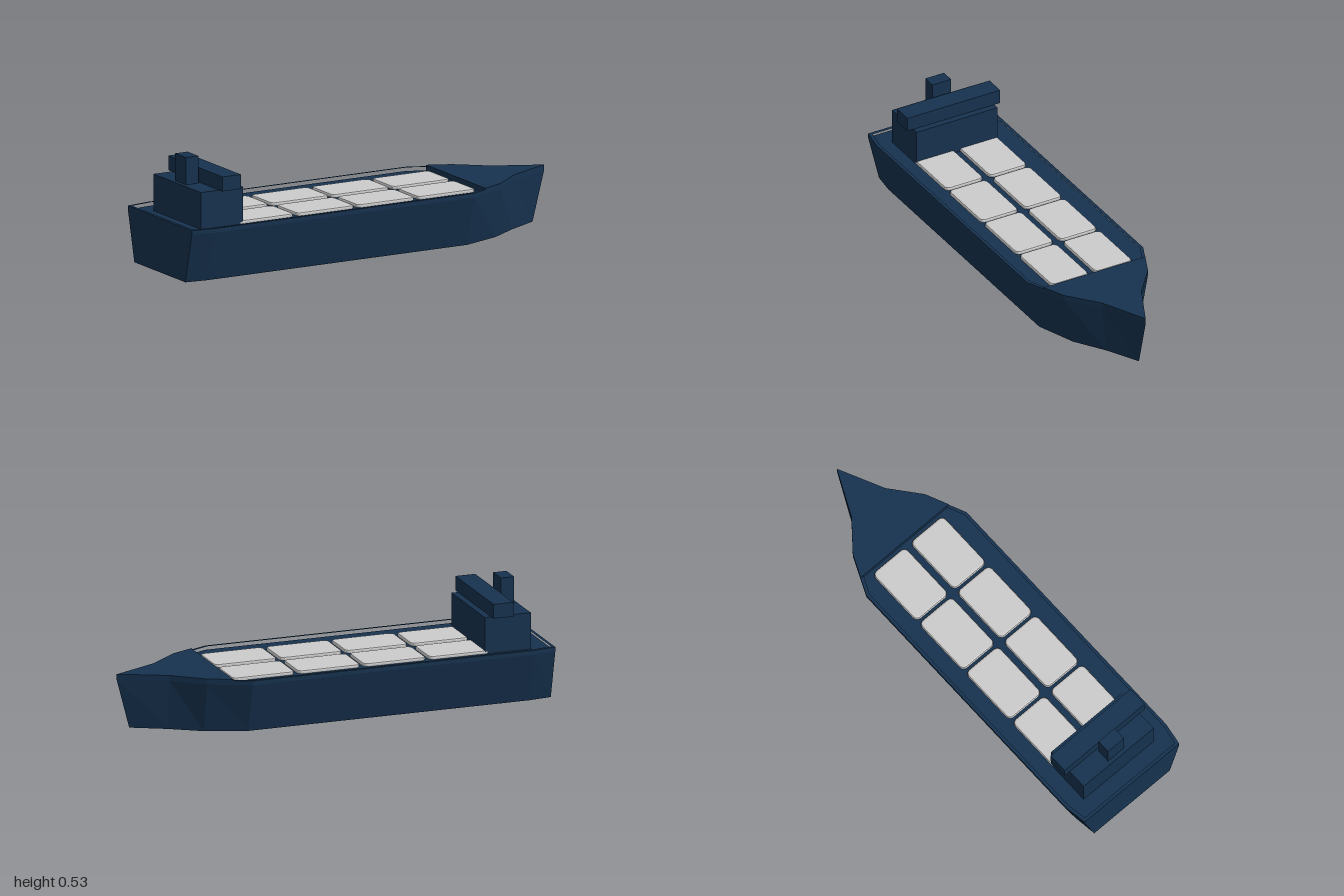
import * as THREE from 'three';

const navy = new THREE.MeshStandardMaterial({ color: 0x16324f, flatShading: true });
const grey = new THREE.MeshStandardMaterial({ color: 0xcccccc });

// Half outlines [x, half width], running from stern to bow
const sheer = [[-1, 0.283], [-0.893, 0.3], [0.46, 0.3], [0.647, 0.216], [0.786, 0.102], [1, 0]];
const well = [[-0.985, 0.268], [-0.89, 0.285], [0.455, 0.285], [0.54, 0.247]];
const bow = [[0.54, 0.264], ...sheer.slice(3)];

// Mirrors a half outline into a closed loop, without doubling a point on the centreline
function mirrored(half) {
  const other = half.filter(p => p[1] > 0).reverse().map(([x, z]) => [x, -z]);
  return [...half, ...other].map(([x, z]) => new THREE.Vector2(x, z));
}

// Upright prism from a half outline, between heights y0 and y1
function prism(half, y0, y1, hole) {
  const shape = new THREE.Shape(mirrored(half));
  if (hole) shape.holes.push(new THREE.Path(mirrored(hole)));
  const geo = new THREE.ExtrudeGeometry(shape, { depth: y1 - y0, bevelEnabled: false });
  return geo.rotateX(-Math.PI / 2).translate(0, y0, 0);
}

function roundedRect(w, h, r) {
  const s = new THREE.Shape();
  const x = w / 2 - r, y = h / 2 - r;
  s.absarc(x, y, r, 0, Math.PI / 2);
  s.absarc(-x, y, r, Math.PI / 2, Math.PI);
  s.absarc(-x, -y, r, Math.PI, Math.PI * 1.5);
  s.absarc(x, -y, r, Math.PI * 1.5, Math.PI * 2);
  s.closePath();
  return s;
}

export function createModel() {
  const ship = new THREE.Group();
  ship.name = 'cargoShip';

  const add = (name, geo, mat = navy) => {
    const mesh = new THREE.Mesh(geo, mat);
    mesh.name = name;
    ship.add(mesh);
    return mesh;
  };
  const block = (name, x0, x1, y0, y1, halfWidth) =>
    add(name, new THREE.BoxGeometry(x1 - x0, y1 - y0, halfWidth * 2))
      .position.set((x0 + x1) / 2, (y0 + y1) / 2, 0);

  // Hull: narrower at the keel, with a raked stem
  const hull = prism(sheer, 0, 0.23);
  const p = hull.attributes.position;
  for (let i = 0; i < p.count; i++) {
    if (p.getY(i) > 0.01) continue;
    p.setZ(i, p.getZ(i) * 0.8);
    if (p.getX(i) > 0.9) p.setX(i, 0.94);
  }
  hull.computeVertexNormals();
  add('hull', hull);

  // Low wall around the deck and the raised deck at the bow
  add('bulwark', prism(sheer, 0.23, 0.25, well));
  add('forecastle', prism(bow, 0.23, 0.256));

  // Superstructure at the stern
  block('deckHouse', -0.91, -0.69, 0.23, 0.4, 0.21);
  block('bridge', -0.815, -0.72, 0.4, 0.467, 0.24);
  block('funnel', -0.892, -0.828, 0.4, 0.526, 0.048);

  // Two rows of four bevelled hatch covers
  const bevel = 0.01;
  const cover = new THREE.ExtrudeGeometry(roundedRect(0.28, 0.175, 0.015), {
    depth: 0.008, bevelThickness: 0.006, bevelSize: bevel, bevelSegments: 2, curveSegments: 5,
  }).rotateX(-Math.PI / 2);
  for (let i = 0; i < 4; i++) {
    for (const side of [-1, 1]) {
      add('hatchCover', cover, grey).position.set(-0.573 + i * 0.315, 0.231, side * 0.113);
    }
  }

  return ship;
}
